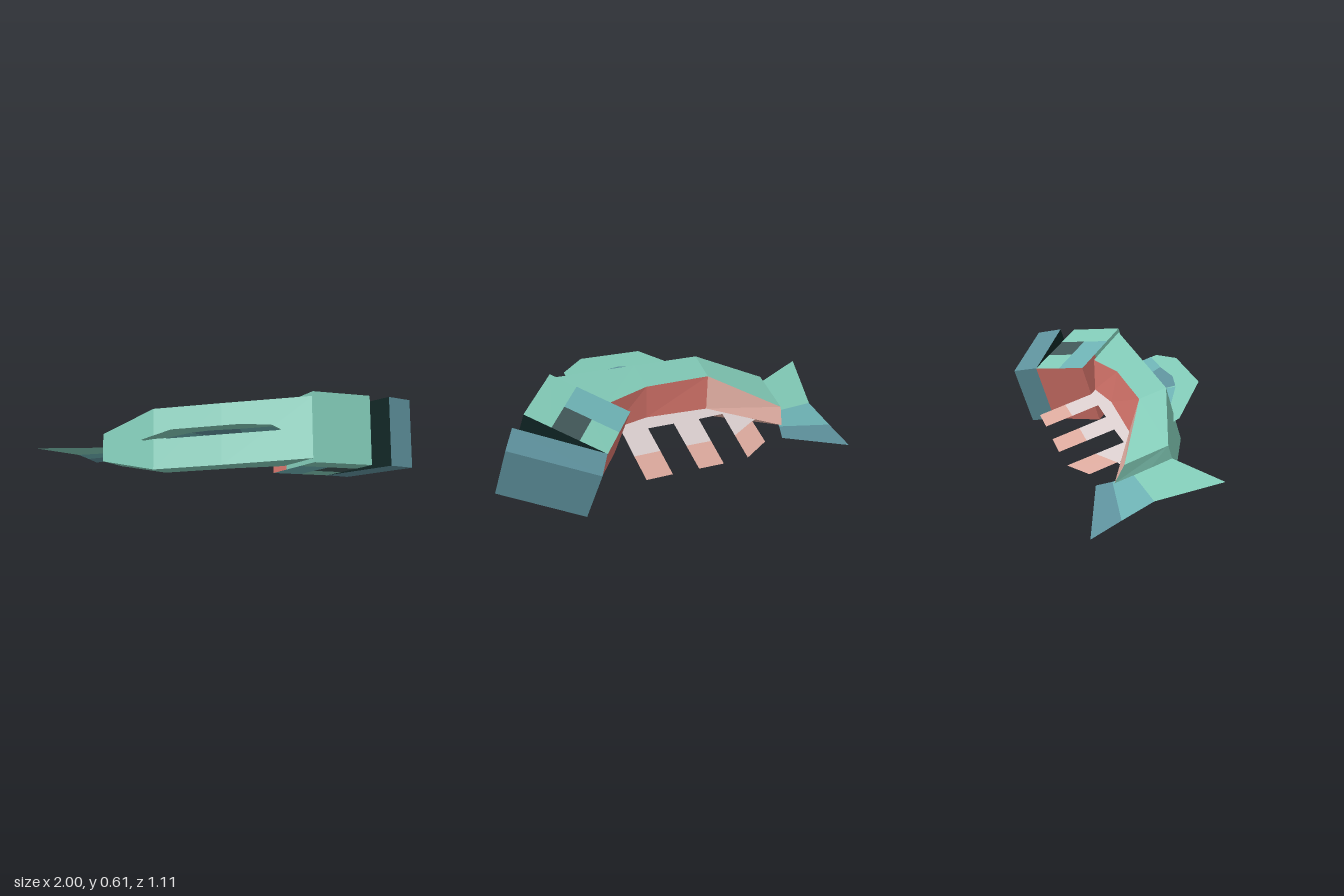
import * as THREE from 'three';
import { mergeGeometries } from 'three/addons/utils/BufferGeometryUtils.js';

// The fish lies on its side in a tilted middle plane: x, z are plan positions on
// that plane, h is the distance from the plane along its normal.
const AX = new THREE.Vector3(1, 0.064, 0);
const AZ = new THREE.Vector3(0, 0.374, 1);
const AH = new THREE.Vector3(-0.06, 0.935, -0.35);
const BASE = 0.262;

function P(x, z, h = 0) {
  return new THREE.Vector3(0, BASE, 0).addScaledVector(AX, x).addScaledVector(AZ, z).addScaledVector(AH, h);
}

// Flat convex face, wound so that it looks away from the centre
function face(points, centre) {
  const mid = points.reduce((s, p) => s.add(p), new THREE.Vector3()).divideScalar(points.length);
  const n = points[1].clone().sub(points[0]).cross(points[2].clone().sub(points[0]));
  const p = n.dot(mid.sub(centre)) < 0 ? [...points].reverse() : points;
  const fan = [];
  for (let i = 1; i < p.length - 1; i++) fan.push(p[0], p[i], p[i + 1]);
  const g = new THREE.BufferGeometry().setFromPoints(fan);
  g.computeVertexNormals();
  return g;
}

// Thin plate from a plan outline
function plate(outline, h = 0) {
  const shape = new THREE.Shape(outline.map(([x, z]) => new THREE.Vector2(x, z)));
  const g = new THREE.ShapeGeometry(shape).toNonIndexed();
  const m = new THREE.Matrix4().makeBasis(AX, AZ, AH).setPosition(P(0, 0, h));
  g.applyMatrix4(m);
  g.computeVertexNormals();
  return g;
}

export function createModel() {
  const model = new THREE.Group();
  model.name = 'fish';
  const mat = {};
  const colours = {
    green: 0x80c8b5, teal: 0x6cb0b2, steelBlue: 0x5d909b, eyeDark: 0x405657,
    mouthBlack: 0x0f2423, pink: 0xdba99d, pale: 0xd9cdcd, red: 0xd4736a,
  };
  for (const [name, color] of Object.entries(colours)) {
    mat[name] = new THREE.MeshStandardMaterial({ color, side: THREE.DoubleSide });
    mat[name].name = name;
  }
  const add = (name, colour, geometries) => {
    const mesh = new THREE.Mesh(mergeGeometries(geometries), mat[colour]);
    mesh.name = name;
    model.add(mesh);
  };

  // Body: stations of back edge, belly edge, belly ridge and half thickness
  const stations = [
    { back: [-0.635, -0.005], belly: [-0.585, -0.215], ridge: [-0.565, -0.28], h: 0.075 },
    { back: [-0.305, 0.217], belly: [-0.27, 0.08], ridge: [-0.24, -0.008], h: 0.157 },
    { back: [0.06, 0.303], belly: [0.095, 0.162], ridge: [0.11, 0.085], h: 0.155 },
    { back: [0.52, 0.412], belly: [0.355, 0.16], ridge: [0.325, 0.1], h: 0.15 },
  ].map(({ back, belly, ridge, h }) => [
    P(...back, h), P(...belly, h), P(...ridge), P(...belly, -h), P(...back, -h),
  ]);
  const skin = [], redBelly = [], pinkBelly = [];
  for (let i = 0; i < 3; i++) {
    const a = stations[i], b = stations[i + 1];
    const centre = [a[0], a[3], b[0], b[3]].reduce((s, p) => s.add(p), new THREE.Vector3()).divideScalar(4);
    for (let k = 0; k < 5; k++) {
      const j = (k + 1) % 5;
      const target = k === 1 ? (i === 0 ? pinkBelly : redBelly) : k === 2 ? pinkBelly : skin;
      // two triangles, as the sides twist slightly
      target.push(face([a[k], a[j], b[j]], centre), face([a[k], b[j], b[k]], centre));
    }
  }
  skin.push(face(stations[0], P(0, 0.1)), face(stations[3], P(0, 0.2)));
  add('body', 'green', skin);
  add('bellyUpper', 'red', redBelly);
  add('bellyLower', 'pink', pinkBelly);

  // Head: s runs from neck to snout, t from belly to back, u is the side
  const H = 0.171;
  const head = (s, t, u) => P(0.295 + 0.27 * s + 0.225 * t, 0.06 - 0.155 * s + 0.36 * t, u * H);
  const headCentre = head(0.5, 0.5, 0);
  const quad = (...c) => face(c.map((q) => head(...q)), headCentre);
  const patch = (s0, s1, t0, t1) => [1, -1].map((u) =>
    quad([s0, t0, u], [s1, t0, u], [s1, t1, u], [s0, t1, u]));
  const third = 1 / 3;
  add('head', 'green', [
    ...patch(0, 1, 2 * third, 1),
    ...patch(0.5, 1, 0, third),
    quad([0, 1, 1], [1, 1, 1], [1, 1, -1], [0, 1, -1]),
    quad([0, third, 1], [0, 1, 1], [0, 1, -1], [0, third, -1]),
  ]);
  add('cheeks', 'teal', patch(0, 0.5, 0, 2 * third));
  add('eyes', 'eyeDark', patch(0.5, 1, third, 2 * third));
  add('throat', 'red', [
    quad([0, 0, 1], [1, 0, 1], [1, 0, -1], [0, 0, -1]),
    quad([0, 0, 1], [0, third, 1], [0, third, -1], [0, 0, -1]),
  ]);
  add('mouthRoof', 'mouthBlack', [quad([1, 0, 1], [1, 1, 1], [1, 1, -1], [1, 0, -1])]);

  // Open jaw hinged at the belly corner of the snout
  const jaw = [[0.565, -0.093], [0.67, -0.185], [0.99, 0.125], [0.885, 0.222]];
  const jawCentre = P(0.777, 0.017);
  const top = jaw.map((q) => P(...q, H)), low = jaw.map((q) => P(...q, -H));
  const side = (i, j) => face([top[i], top[j], low[j], low[i]], jawCentre);
  add('jaw', 'steelBlue', [face(top, jawCentre), face(low, jawCentre), side(0, 1), side(1, 2), side(2, 3)]);
  add('jawInside', 'mouthBlack', [side(3, 0)]);

  // Tail fin in three bands
  add('tailLobe', 'green', [plate([[-0.635, -0.005], [-1, 0.04], [-0.845, -0.235], [-0.59, -0.19]])]);
  add('tailMiddle', 'teal', [plate([[-0.59, -0.19], [-0.845, -0.235], [-0.838, -0.4], [-0.545, -0.28]])]);
  add('tailTip', 'steelBlue', [plate([[-0.545, -0.28], [-0.838, -0.4], [-0.835, -0.555], [-0.5, -0.345]])]);

  // Dorsal fin with painted patches on both sides
  add('dorsalFin', 'green', [
    plate([[-0.37, 0.17], [-0.37, 0.21], [-0.16, 0.47], [0.18, 0.55], [0.325, 0.508], [0.365, 0.365]]),
  ]);
  const both = (outline) => [0.003, -0.003].map((h) => plate(outline, h));
  add('dorsalFinPatch', 'teal', [
    ...both([[-0.25, 0.23], [-0.09, 0.37], [-0.02, 0.285]]),
    ...both([[0.165, 0.33], [0.17, 0.44], [0.33, 0.475], [0.355, 0.37]]),
  ]);
  add('dorsalFinCentre', 'steelBlue', both([[-0.02, 0.285], [-0.08, 0.375], [0.02, 0.422], [0.175, 0.44], [0.165, 0.33]]));

  // Belly fringe with three fingers
  add('fringe', 'pale', [plate([
    [-0.45, -0.185], [-0.425, -0.185], [-0.26, -0.215], [-0.3, -0.075], [-0.15, -0.045], [-0.11, -0.185],
    [0.037, -0.15], [0, -0.01], [0.15, 0.025], [0.187, -0.115], [0.335, -0.083], [0.295, 0.06],
    [0.325, 0.11], [0.11, 0.09], [-0.24, 0],
  ])]);
  add('fringeTips', 'pink', [
    [[-0.425, -0.185], [-0.39, -0.32], [-0.22, -0.355], [-0.26, -0.215]],
    [[-0.11, -0.185], [-0.07, -0.325], [0.075, -0.29], [0.037, -0.15]],
    [[0.187, -0.115], [0.225, -0.255], [0.372, -0.222], [0.335, -0.083]],
  ].map((o) => plate(o)));

  return model;
}
